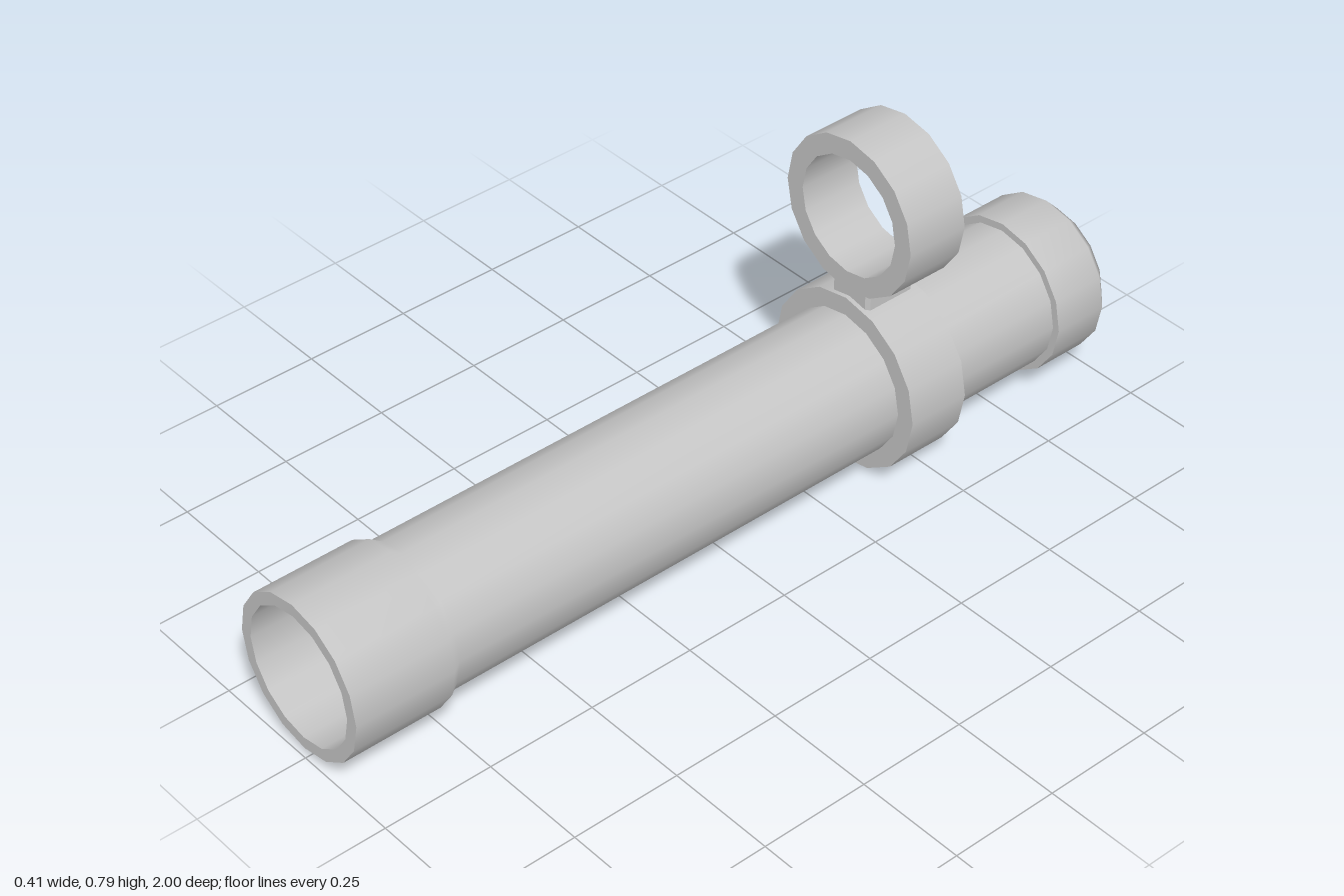
import * as THREE from 'three';
import { mergeGeometries } from 'three/addons/utils/BufferGeometryUtils.js';

const SIDES = 16;
const AXIS_Y = 0.209;

export function createModel() {
  const group = new THREE.Group();
  const grey = new THREE.MeshStandardMaterial({ color: 0xc4c4c4 });
  grey.name = 'grey';

  // Turns profile sections [radius, z] about z; smooth inside a section, sharp between them
  function turned(name, y, sections) {
    const parts = sections.map((s) =>
      new THREE.LatheGeometry(s.map(([r, z]) => new THREE.Vector2(r, z)), SIDES).rotateX(Math.PI / 2));
    const mesh = new THREE.Mesh(mergeGeometries(parts), grey);
    mesh.name = name;
    mesh.position.y = y;
    group.add(mesh);
  }

  // Flat-edged band with a round hole
  function band(name, y, outer, inner, z0, z1) {
    turned(name, y, [
      [[outer, z0], [outer, z1]],
      [[outer, z1], [inner, z1]],
      [[inner, z1], [inner, z0]],
      [[inner, z0], [outer, z0]],
    ]);
  }

  // Hollow tube with a flared front end
  turned('tube', AXIS_Y, [
    [[0.163, -0.86], [0.163, 0.745], [0.18, 0.77], [0.18, 1]],
    [[0.18, 1], [0.152, 1]],
    [[0.152, 1], [0.152, -0.86]],
    [[0.152, -0.86], [0, -0.86]],
  ]);

  // Rounded cap closing the back
  turned('endCap', AXIS_Y, [
    [[0, -1], [0.145, -1], [0.18, -0.965], [0.18, -0.835]],
    [[0.18, -0.835], [0.155, -0.835]],
  ]);

  // Clamp around the tube and the open ring above it
  band('clampRing', AXIS_Y, 0.206, 0.158, -0.535, -0.387);
  band('upperRing', 0.617, 0.18, 0.135, -0.535, -0.387);

  // Short post with bevelled corners between the rings
  const hx = 0.054, hz = 0.064, c = 0.008;
  const outline = new THREE.Shape([
    [hx, -hz + c], [hx, hz - c], [hx - c, hz], [-hx + c, hz],
    [-hx, hz - c], [-hx, -hz + c], [-hx + c, -hz], [hx - c, -hz],
  ].map(([x, y]) => new THREE.Vector2(x, y)));
  const postGeometry = new THREE.ExtrudeGeometry(outline, { depth: 0.052, bevelEnabled: false });
  postGeometry.rotateX(-Math.PI / 2);
  const post = new THREE.Mesh(postGeometry, grey);
  post.name = 'post';
  post.position.set(0, 0.398, -0.461);
  group.add(post);

  return group;
}
